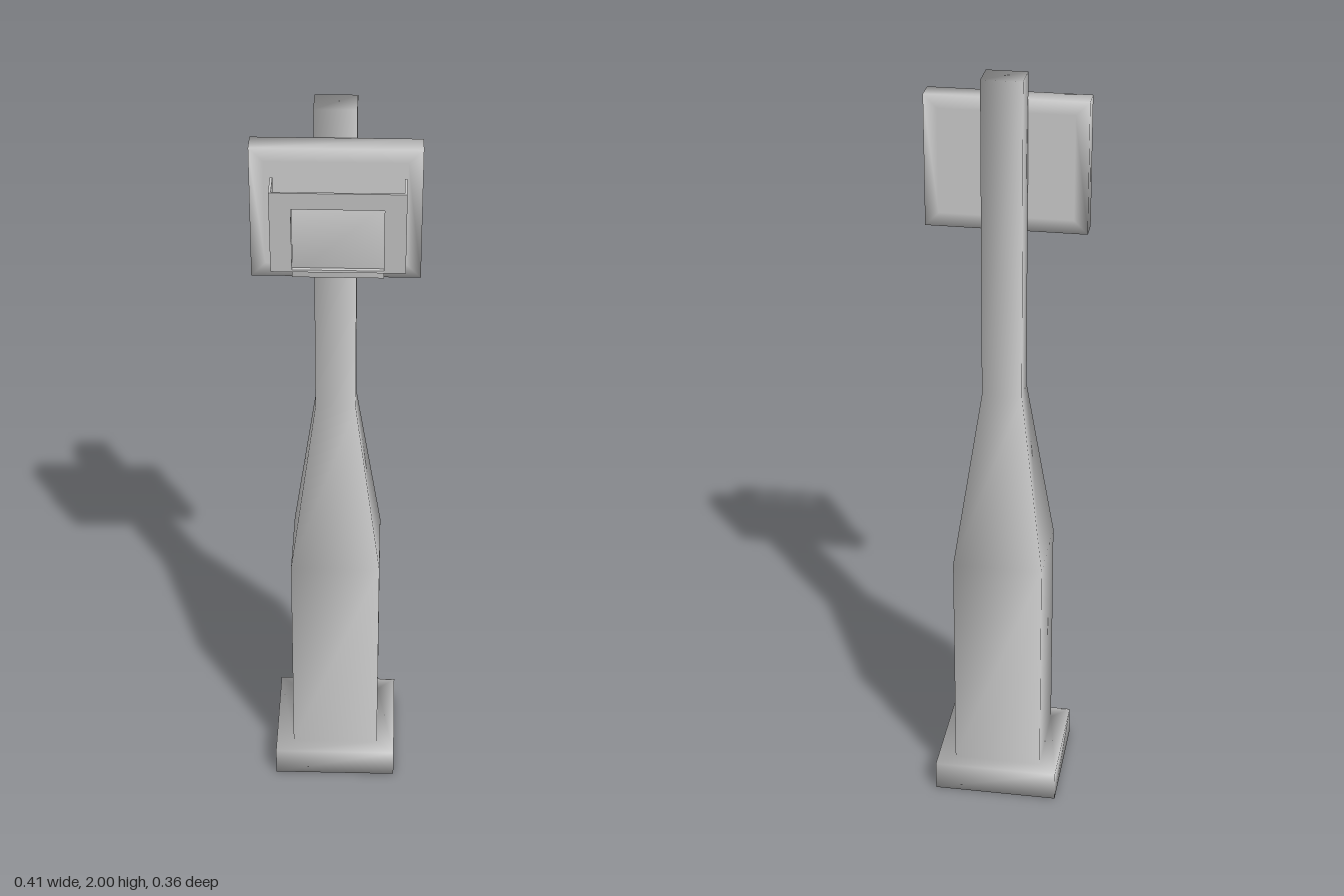
import * as THREE from 'three';

const material = new THREE.MeshStandardMaterial({ color: 0xcccccc, side: THREE.DoubleSide });

// Closed, smooth-shaded loft through rectangular rings [x0, x1, z0, z1, y]
function loft(rings) {
  const positions = [], index = [];
  for (const [x0, x1, z0, z1, y] of rings) {
    positions.push(x0, y, z1, x1, y, z1, x1, y, z0, x0, y, z0);
  }
  for (let r = 0; r < rings.length - 1; r++) {
    for (let i = 0; i < 4; i++) {
      const a = r * 4 + i, b = r * 4 + (i + 1) % 4;
      index.push(a, b, b + 4, a, b + 4, a + 4);
    }
  }
  const t = (rings.length - 1) * 4;
  index.push(0, 2, 1, 0, 3, 2, t, t + 1, t + 2, t, t + 2, t + 3);
  const geometry = new THREE.BufferGeometry();
  geometry.setAttribute('position', new THREE.Float32BufferAttribute(positions, 3));
  geometry.setIndex(index);
  geometry.computeVertexNormals();
  return geometry;
}

// Thin plate cut from an outline of [u, v] points
function plate(points, depth) {
  const shape = new THREE.Shape(points.map(([u, v]) => new THREE.Vector2(u, v)));
  return new THREE.ExtrudeGeometry(shape, { depth, bevelEnabled: false });
}

export function createModel() {
  const model = new THREE.Group();
  const add = (name, geometry, parent = model) => {
    const mesh = new THREE.Mesh(geometry, material);
    mesh.name = name;
    parent.add(mesh);
    return mesh;
  };

  // Square foot, thick lower shaft, taper and slim upper shaft
  add('post', loft([
    [-0.168, 0.163, -0.178, 0.135, 0],
    [-0.168, 0.163, -0.178, 0.135, 0.08],
    [-0.12, 0.115, -0.135, 0.09, 0.08],
    [-0.12, 0.115, -0.135, 0.09, 0.7],
    [-0.055, 0.048, -0.063, 0.018, 1.17],
    [-0.055, 0.048, -0.063, 0.018, 2],
  ]));

  // Board with a soft rim around a flat panel on both faces, lofted along z
  const outer = [-0.205, 0.204, -1.93, -1.59], inner = [-0.17, 0.169, -1.895, -1.625];
  add('board', loft([
    [...inner, 0.022], [...outer, 0.022], [...outer, 0.08], [...inner, 0.08],
  ]).rotateX(Math.PI / 2));

  // Block in front of the board
  add('block', loft([
    [-0.103, 0.115, 0.093, 0.137, 1.62],
    [-0.103, 0.115, 0.093, 0.137, 1.815],
  ]));

  // Flared surround: front arch, side walls and ledge about the block
  const surround = new THREE.Group();
  surround.name = 'surround';
  model.add(surround);
  const left = 0.167, right = -0.154, low = 1.64, high = 1.865, wall = 0.006;

  const arch = plate([
    [right, low], [-0.103, low], [-0.103, 1.82], [0.115, 1.82],
    [0.115, low], [left, low], [left, high], [right, high],
  ], wall);
  // Lean the arch forward towards its top
  const p = arch.attributes.position;
  for (let i = 0; i < p.count; i++) {
    p.setZ(i, p.getZ(i) + THREE.MathUtils.mapLinear(p.getY(i), low, high, 0.148, 0.178) - wall);
  }
  arch.computeVertexNormals();
  add('frontArch', arch, surround);

  for (const [name, x] of [['leftWall', left - wall], ['rightWall', right]]) {
    const side = plate([[-0.148, low], [-0.1, low], [-0.1, high], [-0.178, high]], wall);
    add(name, side.rotateY(Math.PI / 2).translate(x, 0, 0), surround);
  }

  const ledge = plate([
    [right, -0.1], [right, -0.148], [left, -0.148], [left, -0.1],
    [0.115, -0.1], [0.115, -0.137], [-0.103, -0.137], [-0.103, -0.1],
  ], wall);
  add('ledge', ledge.rotateX(-Math.PI / 2).translate(0, low, 0), surround);

  return model;
}
